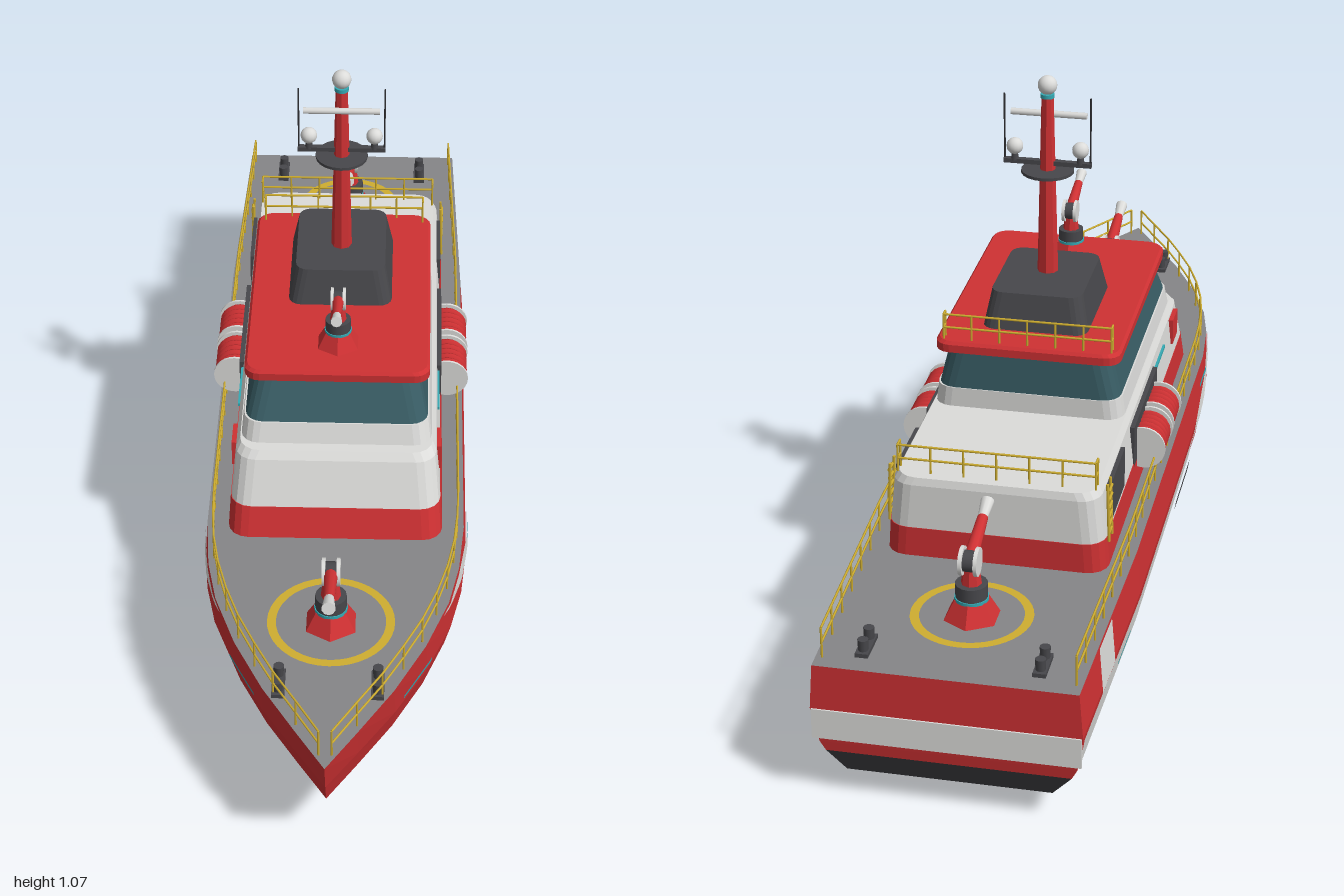
import * as THREE from 'three';
import { mergeGeometries } from 'three/addons/utils/BufferGeometryUtils.js';

const mat = (name, color) => Object.assign(new THREE.MeshStandardMaterial({ color }), { name });
const M = {
  red: mat('signal red', 0xcf3133), white: mat('off white', 0xdcdcda), black: mat('hull black', 0x303033),
  deck: mat('deck grey', 0x868688), dark: mat('dark grey', 0x47474b), glass: mat('teal glass', 0x385c64),
  yellow: mat('yellow', 0xcfae30), cyan: mat('cyan', 0x35aab4),
};
const V = (x, y, z) => new THREE.Vector3(x, y, z);
const lerp = THREE.MathUtils.lerp;

// Flat-shaded geometry from a list of corner loops (triangles or quads)
function facets(faces) {
  const pos = [];
  for (const f of faces) for (let i = 1; i < f.length - 1; i++) pos.push(...f[0], ...f[i], ...f[i + 1]);
  const g = new THREE.BufferGeometry();
  g.setAttribute('position', new THREE.Float32BufferAttribute(pos, 3));
  g.computeVertexNormals();
  return g;
}
const mirrored = faces => faces.concat(faces.map(f => f.map(([x, y, z]) => [-x, y, z]).reverse()));

function add(parent, name, geo, material, x = 0, y = 0, z = 0) {
  const m = new THREE.Mesh(geo, material);
  m.name = name;
  m.position.set(x, y, z);
  parent.add(m);
  return m;
}
const cyl = (r1, r2, h, n = 16) => new THREE.CylinderGeometry(r1, r2, h, n);
const flatCyl = (r1, r2, h, n) => {
  const g = cyl(r1, r2, h, n).toNonIndexed();
  g.computeVertexNormals();
  return g;
};
const box = (x, y, z) => new THREE.BoxGeometry(x, y, z);

// Thin straight bars merged into one mesh
function rods(parent, name, list, r, material) {
  const geos = list.map(([a, b]) => {
    const d = b.clone().sub(a), g = cyl(r, r, d.length(), 6);
    g.applyQuaternion(new THREE.Quaternion().setFromUnitVectors(V(0, 1, 0), d.normalize()));
    return g.translate((a.x + b.x) / 2, (a.y + b.y) / 2, (a.z + b.z) / 2);
  });
  add(parent, name, mergeGeometries(geos), material);
}
// Posts at each point with a top and a middle rail
function railing(parent, name, pts, h) {
  const list = [], up = (p, k) => V(p.x, p.y + k, p.z);
  pts.forEach((p, i) => {
    list.push([p, up(p, h)]);
    if (i) for (const k of [h, h / 2]) list.push([up(pts[i - 1], k), up(p, k)]);
  });
  rods(parent, name, list, 0.0022, M.yellow);
}

// Hull levels: height, stern z, bow z, largest half breadth
const LEVELS = [[0, -0.89, 0.71, 0.06], [0.055, -0.98, 0.83, 0.2], [0.095, -0.987, 0.893, 0.238],
  [0.115, -0.99, 0.917, 0.249], [0.19, -1, 0.96, 0.262], [0.28, -1, 1, 0.255]];
const PLAN = [[0, 0.94], [0.25, 1], [0.67, 1], [0.73, 0.96], [0.78, 0.88], [0.84, 0.71], [0.9, 0.48], [0.955, 0.22], [1, 0]];
const hullPoint = (l, [s, f]) => [l[3] * f, l[0], lerp(l[1], l[2], s)];
function half(z, y) {
  const i = Math.max(1, LEVELS.findIndex(l => l[0] >= y - 1e-6)), a = LEVELS[i - 1], b = LEVELS[i];
  const l = a.map((v, k) => lerp(v, b[k], (y - a[0]) / (b[0] - a[0])));
  const s = THREE.MathUtils.clamp((z - l[1]) / (l[2] - l[1]), 0, 1);
  const j = Math.max(1, PLAN.findIndex(p => p[0] >= s)), p = PLAN[j - 1], q = PLAN[j];
  return l[3] * lerp(p[1], q[1], (s - p[0]) / (q[0] - p[0]));
}
function hullBand(from, to) {
  const side = [], ends = [];
  for (let i = from; i < to; i++) {
    const a = LEVELS[i], b = LEVELS[i + 1];
    for (let j = 0; j < PLAN.length - 1; j++)
      side.push([hullPoint(a, PLAN[j]), hullPoint(b, PLAN[j]), hullPoint(b, PLAN[j + 1]), hullPoint(a, PLAN[j + 1])]);
    const [x0, y0, z0] = hullPoint(a, PLAN[0]), [x1, y1, z1] = hullPoint(b, PLAN[0]);
    ends.push([[x0, y0, z0], [-x0, y0, z0], [-x1, y1, z1], [x1, y1, z1]]);
  }
  return mirrored(side).concat(ends);
}
const plate = (level, up) => PLAN.slice(1).map((p, j) => {
  const [x0, y, z0] = hullPoint(level, PLAN[j]), [x1, , z1] = hullPoint(level, p);
  const f = [[x0, y, z0], [x1, y, z1], [-x1, y, z1], [-x0, y, z0]];
  return up ? f.reverse() : f;
});
// Paint patch on both hull sides; corners [z, y]: aft low, aft high, fore high, fore low
function patch(parent, name, [A, B, C, D], material, off = 0.003) {
  const n = 14, m = 4, faces = [];
  const P = (u, v) => {
    const z = lerp(lerp(A[0], B[0], v), lerp(D[0], C[0], v), u), y = lerp(lerp(A[1], B[1], v), lerp(D[1], C[1], v), u);
    return [half(z, y) + off, y, z];
  };
  for (let i = 0; i < n; i++) for (let j = 0; j < m; j++) {
    const u = i / n, U = (i + 1) / n, v = j / m, W = (j + 1) / m;
    faces.push([P(u, v), P(u, W), P(U, W), P(U, v)]);
  }
  add(parent, name, facets(mirrored(faces)), material);
}
const bar = (z0, z1, y0, y1) => [[z0, y0], [z0, y1], [z1, y1], [z1, y0]];

// Rounded-corner block from levels [y, half width, front z, back z]
function loft(levels, r) {
  const rings = levels.map(([y, hx, zf, zb]) => {
    const ring = [];
    [[1, zf - r], [-1, zf - r], [-1, zb + r], [1, zb + r]].forEach(([sx, cz], q) => {
      for (let k = 0; k <= 4; k++) {
        const t = (q + k / 4) * Math.PI / 2;
        ring.push([sx * (hx - r) + r * Math.cos(t), y, cz + r * Math.sin(t)]);
      }
    });
    return ring;
  });
  const faces = [rings[0], [...rings[rings.length - 1]].reverse()];
  for (let i = 0; i < rings.length - 1; i++) rings[i].forEach((p, k) => {
    const n = (k + 1) % rings[i].length;
    faces.push([p, rings[i + 1][k], rings[i + 1][n], rings[i][n]]);
  });
  return facets(faces);
}

// Water cannon on a six-sided pedestal, aiming forward and slightly up
function waterCannon(parent, name, y, z, scale) {
  const g = new THREE.Group();
  g.name = name;
  add(g, 'pedestal', flatCyl(0.033, 0.054, 0.038, 6), M.red, 0, 0.019);
  add(g, 'turntable', cyl(0.03, 0.03, 0.034), M.dark, 0, 0.053);
  add(g, 'turntableRing', cyl(0.032, 0.032, 0.006), M.cyan, 0, 0.04);
  add(g, 'yoke', flatCyl(0.014, 0.02, 0.05, 8), M.red, 0, 0.09);
  for (const s of [-1, 1]) add(g, 'pivotDisc', cyl(0.027, 0.027, 0.007, 18), M.white, s * 0.014, 0.12, -0.01).rotation.z = Math.PI / 2;
  add(g, 'pivot', cyl(0.02, 0.02, 0.026), M.dark, 0, 0.12, -0.01).rotation.z = Math.PI / 2;
  const barrel = new THREE.Group();
  barrel.name = 'barrel';
  barrel.position.set(0, 0.12, -0.01);
  barrel.rotation.x = Math.PI / 2 - 0.28;
  add(barrel, 'pipe', cyl(0.01, 0.014, 0.11, 10), M.red, 0, 0.055);
  add(barrel, 'nozzle', cyl(0.013, 0.009, 0.045, 10), M.white, 0, 0.13);
  g.add(barrel);
  g.position.set(0, y, z);
  g.scale.setScalar(scale);
  parent.add(g);
}

export function createModel() {
  const boat = new THREE.Group();
  boat.name = 'fireboat';

  // Hull and paint
  add(boat, 'lowerHull', facets(hullBand(0, 2).concat(plate(LEVELS[0], false))), M.black);
  add(boat, 'upperHull', facets(hullBand(2, 5)), M.red);
  add(boat, 'deck', facets(plate(LEVELS[5], true)), M.deck);
  patch(boat, 'sideStripe', [[-1, 0.13], [-1, 0.19], [0.15, 0.185], [0.28, 0.13]].map((p, i) => i > 1 ? [0.15, i === 2 ? 0.185 : 0.135] : p), M.white);
  patch(boat, 'diagonalStripe', [[0.15, 0.16], [0.15, 0.185], [0.44, 0.28], [0.6, 0.28]], M.white, 0.0035);
  patch(boat, 'sternBand', bar(-0.85, -0.745, 0.19, 0.28), M.white);
  add(boat, 'transomStripe', box(0.488, 0.06, 0.008), M.white, 0, 0.16, -0.999);
  for (const [a, b, y] of [[0.65, 0.755, 0.22], [0.25, 0.345, 0.255], [-0.715, -0.6, 0.165]])
    patch(boat, 'cyanMark', bar(a, b, y - 0.004, y + 0.004), M.cyan, 0.006);
  patch(boat, 'hullFender', bar(-0.055, 0.13, 0.115, 0.14), M.dark, 0.008);

  // Deckhouse, wheelhouse and roof
  add(boat, 'deckhouseBase', loft([[0.28, 0.212, 0.38, -0.6], [0.34, 0.208, 0.358, -0.6]], 0.04), M.red);
  add(boat, 'deckhouse', loft([[0.34, 0.207, 0.357, -0.599], [0.43, 0.198, 0.322, -0.599], [0.445, 0.19, 0.31, -0.595]], 0.04), M.white);
  add(boat, 'wheelhouseSill', loft([[0.445, 0.188, 0.287, -0.3], [0.485, 0.183, 0.273, -0.3]], 0.035), M.white);
  add(boat, 'windowBand', loft([[0.485, 0.18, 0.27, -0.298], [0.568, 0.16, 0.225, -0.292]], 0.035), M.glass);
  add(boat, 'roof', loft([[0.566, 0.182, 0.243, -0.31], [0.582, 0.182, 0.243, -0.31], [0.588, 0.177, 0.238, -0.305]], 0.03), M.red);
  add(boat, 'mastHousing', loft([[0.588, 0.104, 0.02, -0.235], [0.66, 0.09, 0, -0.218]], 0.025), M.dark);

  // Side fittings
  for (const s of [-1, 1]) {
    add(boat, 'reelRecess', box(0.009, 0.105, 0.27), M.dark, s * 0.204, 0.367, -0.14);
    add(boat, 'ventPanel', box(0.009, 0.085, 0.15), M.dark, s * 0.202, 0.385, -0.445);
    add(boat, 'redLocker', box(0.012, 0.055, 0.06), M.red, s * 0.202, 0.398, 0.235);
    add(boat, 'houseMark', box(0.009, 0.007, 0.12), M.cyan, s * 0.2, 0.406, 0.06);
    for (const z of [-0.195, -0.085]) {
      const reel = new THREE.Group();
      reel.name = 'hoseReel';
      add(reel, 'drum', cyl(0.036, 0.036, 0.085, 20), M.red).rotation.x = Math.PI / 2;
      for (let i = -2; i <= 2; i++) add(reel, 'hoseTurn', new THREE.TorusGeometry(0.034, 0.008, 6, 20), M.red, 0, 0, i * 0.016);
      for (const e of [-1, 1]) add(reel, 'flange', cyl(0.044, 0.044, 0.005, 24), M.white, 0, 0, e * 0.045).rotation.x = Math.PI / 2;
      reel.position.set(s * 0.221, 0.36, z);
      boat.add(reel);
    }
    const ladder = [-0.53, -0.56].map(z => [V(s * 0.211, 0.33, z), V(s * 0.207, 0.45, z)]);
    for (let i = 0; i < 6; i++) ladder.push([V(s * 0.21, 0.345 + i * 0.018, -0.53), V(s * 0.21, 0.345 + i * 0.018, -0.56)]);
    rods(boat, 'ladder', ladder, 0.003, M.yellow);

    // Deck edge railing and bollards
    const pts = [];
    for (let i = 0; i <= 26; i++) {
      const z = 0.965 - i * 1.935 / 26;
      pts.push(V(s * Math.max(0.012, half(z, 0.28) - 0.012), 0.28, z));
    }
    railing(boat, 'deckRailing', pts, 0.06);
    for (const [x, z] of [[0.092, 0.79], [0.16, -0.925]]) {
      add(boat, 'bollardBase', box(0.024, 0.008, 0.07), M.dark, s * x, 0.284, z);
      for (const d of [-0.02, 0.02]) add(boat, 'bollardPost', cyl(0.01, 0.009, 0.026, 10), M.dark, s * x, 0.297, z + d);
    }
  }
  const across = (w, y, z, n) => Array.from({ length: n + 1 }, (_, i) => V(lerp(-w, w, i / n), y, z));
  railing(boat, 'aftRoofRailing', [V(-0.188, 0.445, -0.555), ...across(0.188, 0.445, -0.575, 6), V(0.188, 0.445, -0.555)], 0.055);
  railing(boat, 'upperRoofRailing', [V(-0.165, 0.585, -0.28), ...across(0.165, 0.585, -0.295, 6), V(0.165, 0.585, -0.28)], 0.055);

  // Deck circles and water cannons
  for (const [z, r] of [[0.62, 0.122], [-0.785, 0.113]])
    add(boat, 'deckCircle', new THREE.RingGeometry(r - 0.017, r, 40), M.yellow, 0, 0.283, z).rotation.x = -Math.PI / 2;
  waterCannon(boat, 'bowCannon', 0.28, 0.62, 1);
  waterCannon(boat, 'sternCannon', 0.28, -0.785, 1);
  waterCannon(boat, 'roofCannon', 0.588, 0.145, 0.84);

  // Mast with lights, radar and aerials
  const mast = new THREE.Group();
  mast.name = 'mast';
  mast.position.z = -0.095;
  add(mast, 'mastPole', flatCyl(0.012, 0.021, 0.37, 8), M.red, 0, 0.84);
  add(mast, 'mastCollar', cyl(0.014, 0.014, 0.008), M.cyan, 0, 1.028);
  add(mast, 'topDome', new THREE.SphereGeometry(0.019, 16, 12), M.white, 0, 1.049);
  add(mast, 'mastPlatform', cyl(0.052, 0.052, 0.006, 20), M.dark, 0, 0.873);
  add(mast, 'crossArm', box(0.174, 0.009, 0.012), M.dark, 0, 0.889);
  const radar = add(mast, 'radarBar', cyl(0.0065, 0.0065, 0.15, 10), M.white, 0, 0.985);
  radar.rotation.z = Math.PI / 2;
  radar.position.z = 0.014;
  for (const s of [-1, 1]) {
    add(mast, 'domeStem', cyl(0.006, 0.008, 0.016, 8), M.dark, s * 0.065, 0.898);
    add(mast, 'sideDome', new THREE.SphereGeometry(0.0165, 14, 10), M.white, s * 0.065, 0.919);
    add(mast, 'aerial', cyl(0.0017, 0.002, 0.14, 6), M.black, s * 0.085, 0.957);
  }
  boat.add(mast);
  return boat;
}
